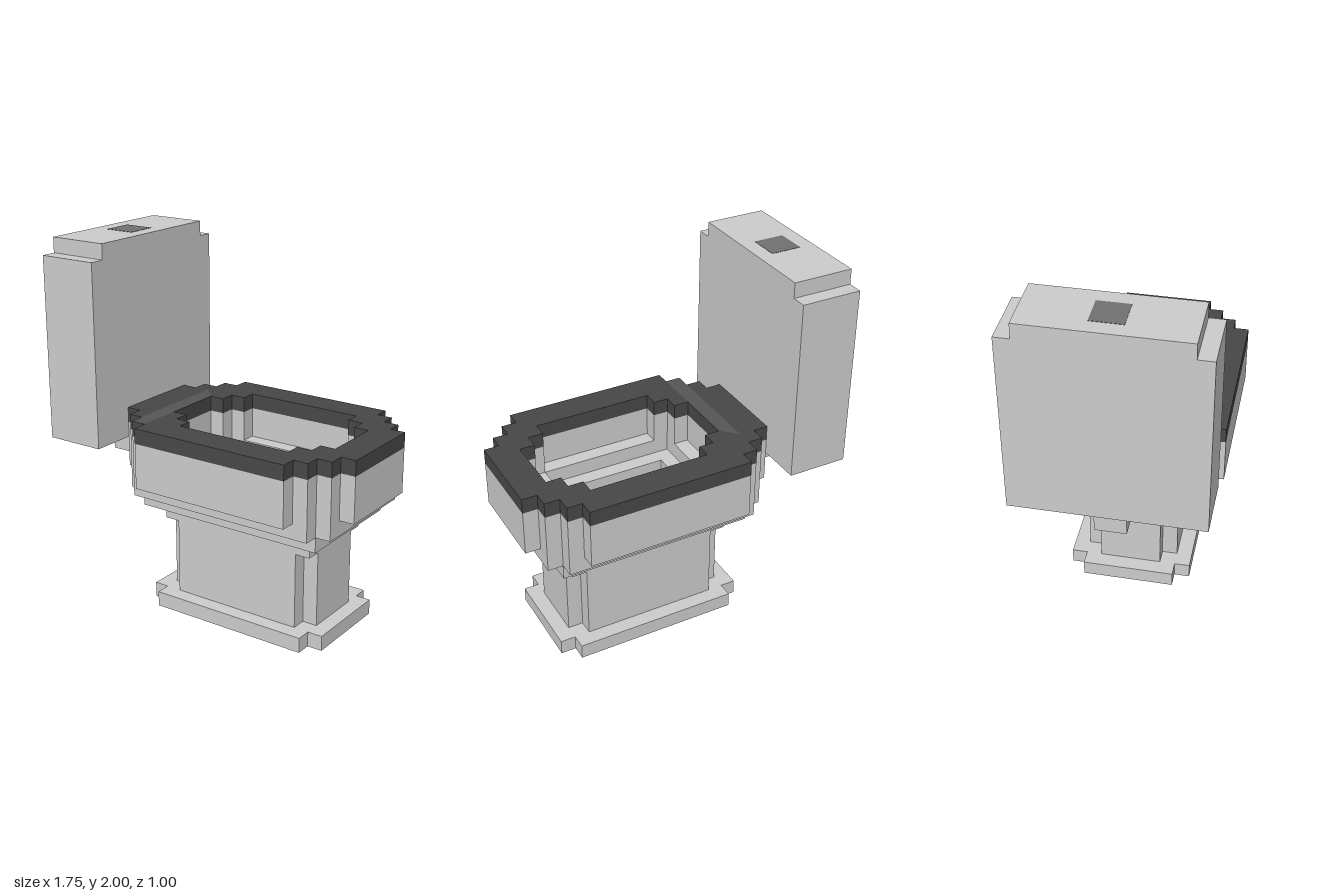
import * as THREE from 'three';

const U = 1 / 12; // size of one block
const X0 = -0.875;

const material = (color) => new THREE.MeshStandardMaterial({ color, flatShading: true });

// Stepped outline, mirrored in z. Rows run from the middle outwards:
// [half depth, first x, last x], all counted in blocks.
function outline(rows, PathType) {
  const right = [], left = [];
  let inner = 0;
  for (const [half, a, b] of rows) {
    right.push([b, inner], [b, half]);
    left.push([a, inner], [a, half]);
    inner = half;
  }
  const upper = [...right.slice(1), ...left.slice(1).reverse()];
  const lower = upper.map(([x, z]) => [x, -z]).reverse();
  return new PathType([...upper, ...lower].map(([x, z]) => new THREE.Vector2(X0 + x * U, z * U)));
}

// Flat slab between two block heights, with an optional stepped hole.
function slab(name, y0, y1, rows, mat, hole) {
  const shape = outline(rows, THREE.Shape);
  if (hole) shape.holes.push(outline(hole, THREE.Path));
  const geo = new THREE.ExtrudeGeometry(shape, { depth: (y1 - y0) * U, bevelEnabled: false });
  geo.rotateX(-Math.PI / 2).translate(0, y0 * U, 0);
  const mesh = new THREE.Mesh(geo, mat);
  mesh.name = name;
  return mesh;
}

export function createModel() {
  const model = new THREE.Group();
  model.name = 'toilet';
  const grey = material(0xcccccc);
  const dark = material(0x474747);
  const add = (...args) => model.add(slab(...args));

  // Foot and pedestal with notched corners
  add('foot', 0, 1, [[3, 6, 19], [4, 7, 18]], grey);
  add('pedestal', 1, 6, [[2, 7, 18], [3, 8, 17]], grey);
  add('pedestalTop', 6, 7, [[3, 7, 18]], grey);

  // Bowl, narrowing downwards inside and out
  const rim = [[3, 4, 21], [4, 5, 20], [5, 6, 19], [6, 7, 18]];
  const opening = [[2, 7, 19], [3, 8, 18], [4, 9, 17]];
  add('bowlBottom', 7, 8, [[4, 6, 19]], grey, [[1, 10, 15]]);
  add('bowlLower', 8, 9, [[4, 5, 20], [5, 6, 19]], grey, [[2, 9, 16]]);
  add('bowlMiddle', 9, 10, rim, grey, [[3, 8, 17]]);
  add('bowlUpper', 10, 12, rim, grey, opening);

  // Seat and the lighter strip across its back
  add('seat', 12, 13, rim, dark, opening);
  const strip = new THREE.Shape([[6, -5], [7, -5], [7, 2], [6, 3]]
    .map(([x, z]) => new THREE.Vector2(X0 + x * U, z * U)));
  const stripMesh = new THREE.Mesh(
    new THREE.ShapeGeometry(strip).rotateX(-Math.PI / 2).translate(0, 13 * U + 0.002, 0),
    material(0x555555));
  stripMesh.name = 'seatStrip';
  model.add(stripMesh);

  // Tank, its lid, flush button and the pipe to the bowl
  add('pipe', 9, 11, [[1, 1, 4]], grey);
  add('tank', 11, 23, [[6, 0, 4]], grey);
  add('tankLid', 23, 24, [[5, 0, 4]], grey);
  add('flushButton', 23.5, 24.02, [[1, 1, 3]], material(0x707070));

  return model;
}
